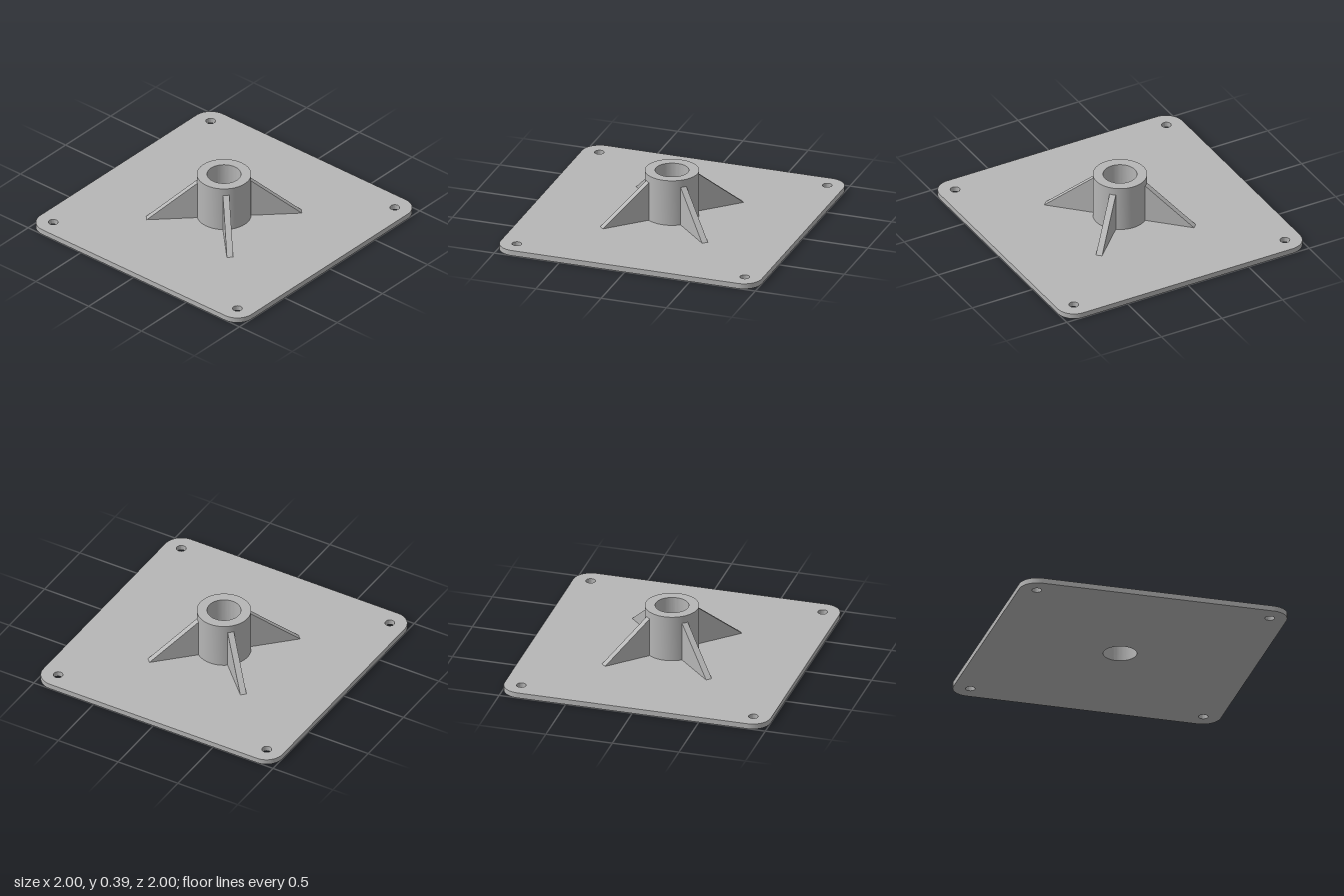
import * as THREE from 'three';
import { toCreasedNormals } from 'three/addons/utils/BufferGeometryUtils.js';

const PLATE_H = 0.04, TOP = 0.39, BORE = 0.122, OUTER = 0.196;

function circle(x, y, r, Type = THREE.Path) {
  const c = new Type();
  c.absarc(x, y, r, 0, Math.PI * 2, false);
  return c;
}

// Extrude an outline upwards, smooth around curves and sharp at the rims
function extrudeUp(shape, height, curveSegments) {
  const g = new THREE.ExtrudeGeometry(shape, { depth: height, bevelEnabled: false, curveSegments });
  g.rotateX(-Math.PI / 2);
  return toCreasedNormals(g, Math.PI / 6);
}

export function createModel() {
  const group = new THREE.Group();
  const metal = new THREE.MeshStandardMaterial({ color: 0xb6b6b6 });
  metal.name = 'grey metal';

  const add = (name, geometry) => {
    const mesh = new THREE.Mesh(geometry, metal);
    mesh.name = name;
    group.add(mesh);
    return mesh;
  };

  // Base plate: rounded square with four bolt holes and the central bore
  const r = 0.135, c = 1 - r;
  const plate = new THREE.Shape();
  [[1, 1], [-1, 1], [-1, -1], [1, -1]].forEach(([sx, sy], i) => {
    plate.absarc(sx * c, sy * c, r, i * Math.PI / 2, (i + 1) * Math.PI / 2, false);
    plate.holes.push(circle(sx * 0.872, sy * 0.872, 0.035));
  });
  plate.closePath();
  plate.holes.push(circle(0, 0, BORE));
  add('basePlate', extrudeUp(plate, PLATE_H, 48));

  // Upright socket tube
  const ring = circle(0, 0, OUTER, THREE.Shape);
  ring.holes.push(circle(0, 0, BORE));
  const tube = add('socketTube', extrudeUp(ring, TOP - PLATE_H, 48));
  tube.position.y = PLATE_H;

  // Four diagonal triangular gussets, rooted inside the tube wall
  const T = 0.046;
  const profile = new THREE.Shape([
    new THREE.Vector2(0.16, PLATE_H),
    new THREE.Vector2(0.56, PLATE_H),
    new THREE.Vector2(0.193, 0.336),
    new THREE.Vector2(0.16, 0.336),
  ]);
  const gusset = new THREE.ExtrudeGeometry(profile, { depth: T, bevelEnabled: false });
  gusset.translate(0, 0, -T / 2);
  for (let i = 0; i < 4; i++) {
    add('gusset' + (i + 1), gusset).rotation.y = Math.PI / 4 + i * Math.PI / 2;
  }

  return group;
}
